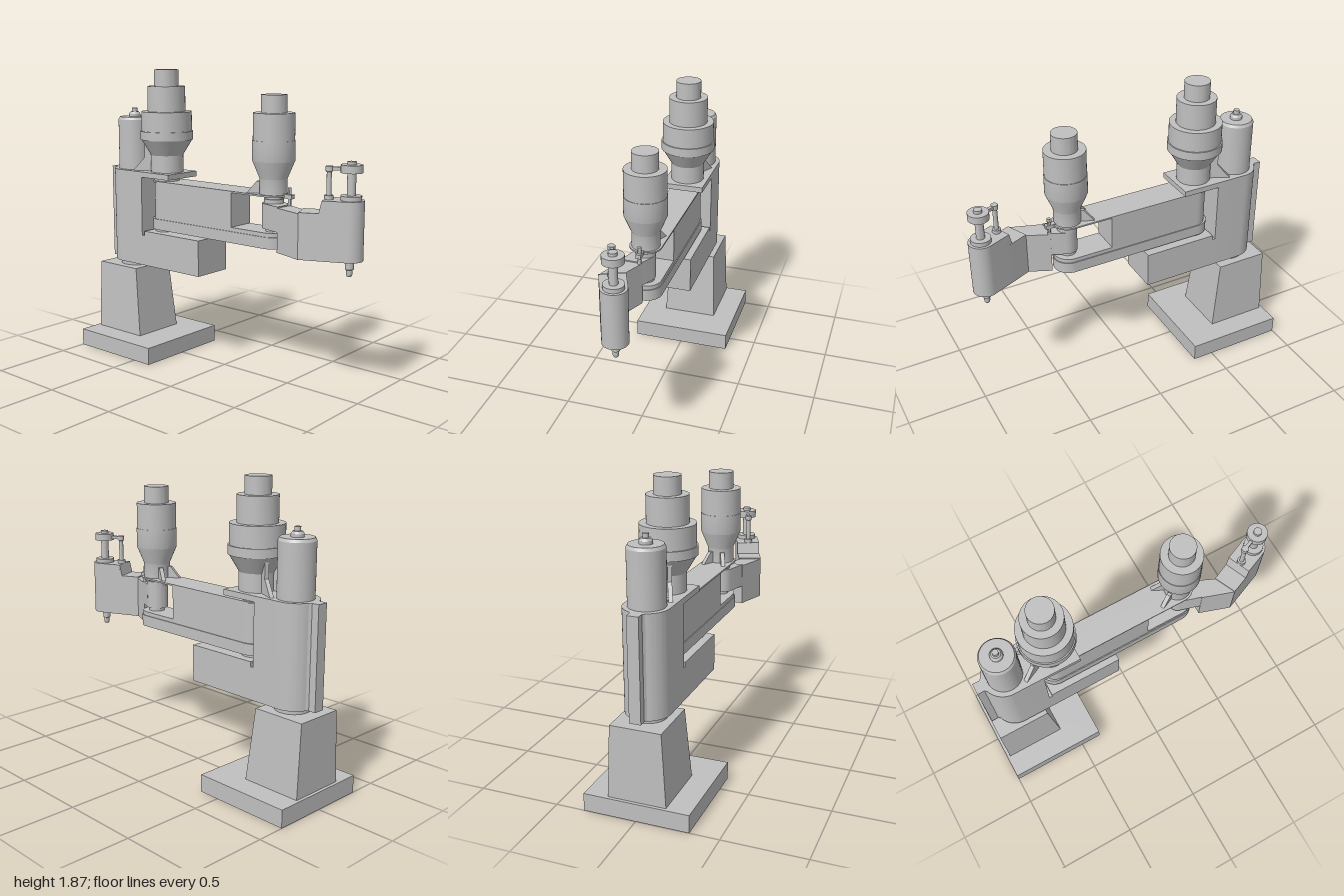
import * as THREE from 'three';
import { toCreasedNormals } from 'three/addons/utils/BufferGeometryUtils.js';

const metal = new THREE.MeshStandardMaterial({ color: 0xc0c0c0 });
metal.name = 'grey metal';

export function createModel() {
  const root = new THREE.Group();
  root.name = 'robotArm';

  const add = (name, geo, x = 0, y = 0, z = 0) => {
    const m = new THREE.Mesh(geo, metal);
    m.name = name;
    m.position.set(x, y, z);
    root.add(m);
    return m;
  };
  // box given by its limits
  const box = (name, x0, x1, y0, y1, z0, z1) =>
    add(name, new THREE.BoxGeometry(x1 - x0, y1 - y0, z1 - z0), (x0 + x1) / 2, (y0 + y1) / 2, (z0 + z1) / 2);
  // turned part: [radius, height] pairs, closed at both ends
  const turned = (name, x, z, profile, sides = 48) => {
    const p = [[0, profile[0][1]], ...profile, [0, profile[profile.length - 1][1]]];
    const g = new THREE.LatheGeometry(p.map(([r, y]) => new THREE.Vector2(r, y)), sides);
    return add(name, toCreasedNormals(g, 0.4), x, 0, z);
  };
  const cyl = (name, x, z, r, y0, y1) => turned(name, x, z, [[r, y0], [r, y1]], 32);
  // plan outline (x, -z) raised from y0 to y1
  const plan = (name, shape, y0, y1) => {
    const g = new THREE.ExtrudeGeometry(shape, { depth: y1 - y0, bevelEnabled: false, curveSegments: 24 });
    g.rotateX(-Math.PI / 2);
    return add(name, toCreasedNormals(g, 0.4), 0, y0, 0);
  };
  const outline = (pts) => new THREE.Shape(pts.map(([x, z]) => new THREE.Vector2(x, -z)));
  const slot = (zBack, zFront, r) => {
    const s = new THREE.Shape();
    s.moveTo(r, -zFront);
    s.lineTo(r, -zBack);
    s.absarc(0, -zBack, r, 0, Math.PI, false);
    s.lineTo(-r, -zFront);
    s.absarc(0, -zFront, r, Math.PI, 2 * Math.PI, false);
    return s;
  };
  // pair of slanted ribs behind a motor; profile is [distance, height]
  const ribs = (name, z, profile) => {
    for (const side of [-1, 1]) {
      const s = new THREE.Shape(profile.map(([d, y]) => new THREE.Vector2(d, y)));
      const g = new THREE.ExtrudeGeometry(s, { depth: 0.025, bevelEnabled: false });
      g.translate(0, 0, -0.0125);
      add(name, g, 0, 0, z).rotation.y = Math.PI / 2 - side * 0.45;
    }
  };

  // base plate and tapered pedestal
  box('basePlate', -0.323, 0.323, 0, 0.11, -1, -0.365);
  const ped = new THREE.BoxGeometry(0.355, 0.45, 0.39);
  const pos = ped.attributes.position;
  for (let i = 0; i < pos.count; i++) {
    if (pos.getY(i) > 0) {
      pos.setX(i, Math.sign(pos.getX(i)) * 0.155);
      if (pos.getZ(i) > 0) pos.setZ(i, 0.145);
    }
  }
  ped.computeVertexNormals();
  add('pedestal', ped, 0, 0.335, -0.785);
  cyl('swivelNeck', 0, -0.785, 0.107, 0.55, 0.6);

  // upright column with rounded back and spine
  const col = new THREE.Shape();
  col.moveTo(-0.135, 0.595);
  col.lineTo(0.135, 0.595);
  col.lineTo(0.135, 0.79);
  col.absarc(0, 0.79, 0.135, 0, Math.PI, false);
  plan('column', col, 0.59, 1.21);
  plan('columnSpine', outline([[-0.07, -0.89], [0.07, -0.89], [0.035, -0.93], [0.035, -0.975],
    [-0.035, -0.975], [-0.035, -0.93]]), 0.59, 1.21);
  box('lowerBracket', -0.135, 0.135, 0.59, 0.82, -0.575, -0.1);
  box('bracketStep', -0.135, 0.135, 0.59, 0.79, -0.61, -0.57);
  box('upperBracket', -0.135, 0.135, 1.175, 1.21, -0.61, -0.355);

  // rear motor with cap and knob
  turned('rearMotor', 0, -0.785, [[0.108, 1.2], [0.108, 1.535], [0.098, 1.553]]);
  turned('rearMotorKnob', 0, -0.785, [[0.038, 1.55], [0.038, 1.57], [0.028, 1.585], [0.018, 1.585], [0.018, 1.61]], 24);

  // shoulder motor
  turned('shoulderMotor', 0, -0.49, [[0.105, 1.2], [0.105, 1.32], [0.165, 1.42], [0.17, 1.42], [0.17, 1.475],
    [0.162, 1.475], [0.162, 1.6], [0.121, 1.6], [0.121, 1.76], [0.078, 1.76], [0.078, 1.865]]);
  ribs('shoulderRib', -0.49, [[0.09, 1.21], [0.23, 1.21], [0.15, 1.3], [0.15, 1.4], [0.09, 1.33]]);
  cyl('shoulderJointLower', 0, -0.49, 0.083, 0.81, 0.845);
  cyl('shoulderJointUpper', 0, -0.49, 0.083, 1.15, 1.18);

  // upper arm: lower beam, web and thin cover
  plan('armLowerBeam', slot(-0.485, 0.38, 0.098), 0.835, 0.905);
  plan('armBeamCap', slot(-0.475, 0.38, 0.092), 0.905, 0.93);
  const web = new THREE.Shape();
  web.moveTo(-0.092, -0.13);
  web.lineTo(0.092, -0.13);
  web.lineTo(0.092, 0.475);
  web.absarc(0, 0.475, 0.092, 0, Math.PI, false);
  plan('armWeb', web, 0.93, 1.143);
  plan('armCover', slot(-0.485, 0.38, 0.096), 1.143, 1.153);

  // elbow motor
  turned('elbowMotor', 0, 0.38, [[0.083, 1.15], [0.083, 1.245], [0.127, 1.35], [0.127, 1.47], [0.124, 1.47],
    [0.124, 1.63], [0.077, 1.63], [0.077, 1.735]]);
  ribs('elbowRib', 0.38, [[0.07, 1.153], [0.16, 1.153], [0.1, 1.225], [0.07, 1.225]]);
  cyl('elbowJointLower', 0, 0.385, 0.05, 0.925, 0.955);
  cyl('elbowJointUpper', 0, 0.385, 0.05, 1.1, 1.145);
  cyl('elbowCollar', 0, 0.385, 0.06, 1.1, 1.125);
  cyl('stopPin', 0, 0.5, 0.011, 1.09, 1.2);
  box('stopBar', -0.015, 0.015, 1.135, 1.16, 0.45, 0.525);

  // forearm: elbow hub, bent link and tool housing
  const hub = new THREE.Shape();
  hub.moveTo(-0.112, -0.496);
  hub.lineTo(0.013, -0.498);
  hub.lineTo(0.054, -0.414);
  hub.absarc(-0.01, -0.39, 0.068, -0.36, Math.PI - 0.36, false);
  plan('forearmHub', hub, 0.95, 1.1);
  plan('forearmLink', outline([[-0.178, 0.69], [-0.045, 0.63], [0.013, 0.497], [-0.113, 0.495]]), 0.83, 1.093);
  plan('forearmElbow', outline([[-0.178, 0.69], [-0.128, 0.812], [0.01, 0.752], [-0.045, 0.63]]), 0.83, 1.1);
  const a = Math.atan2(0.39, 0.92);
  const housing = new THREE.Shape();
  housing.moveTo(0.01, -0.752);
  housing.lineTo(-0.128, -0.812);
  housing.lineTo(-0.07, -0.95);
  housing.absarc(0, -0.92, 0.076, Math.PI + a, 2 * Math.PI + a, false);
  plan('toolHousing', housing, 0.83, 1.172);
  // sloped step up to the housing
  const ramp = new THREE.Shape([[0, 1.1], [0.03, 1.1], [0.03, 1.172], [0.017, 1.172]].map(([d, y]) => new THREE.Vector2(d, y)));
  const rampGeo = new THREE.ExtrudeGeometry(ramp, { depth: 0.15, bevelEnabled: false });
  rampGeo.translate(-0.017, 0, -0.075);
  add('housingRamp', rampGeo, -0.059, 0, 0.782).rotation.y = a - Math.PI / 2;

  // spindle with top disc and nozzle
  turned('spindleTop', 0, 0.92, [[0.06, 1.17], [0.06, 1.198], [0.025, 1.198], [0.025, 1.325], [0.062, 1.325],
    [0.062, 1.37], [0.025, 1.37], [0.025, 1.388]], 32);
  turned('nozzle', 0, 0.92, [[0.013, 0.738], [0.018, 0.75], [0.018, 0.775], [0.025, 0.78], [0.025, 0.835]], 24);
  turned('guideRod', -0.05, 0.805, [[0.026, 1.17], [0.026, 1.195], [0.014, 1.195], [0.014, 1.325], [0.021, 1.33],
    [0.021, 1.358]], 20);
  const link = add('guideLink', new THREE.BoxGeometry(0.02, 0.02, 0.12), -0.025, 1.345, 0.862);
  link.rotation.y = a;

  return root;
}
